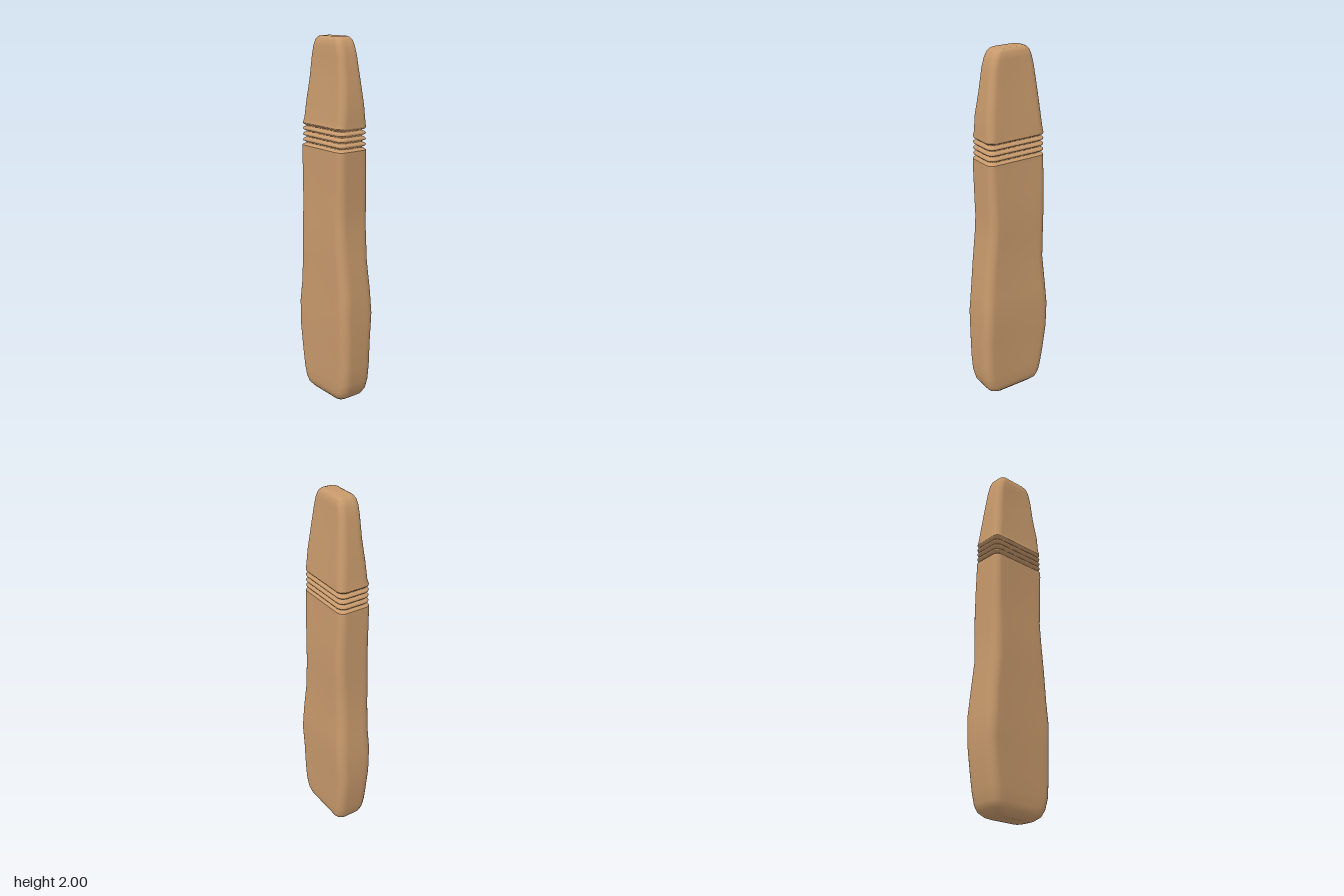
import * as THREE from 'three';

const tan = new THREE.MeshStandardMaterial({ color: 0xc89a6c });
tan.name = 'tan';

const CORNER_STEPS = 6, EDGE_STEPS = 8;

// Rounded rectangle at one height; broad faces dip slightly in the middle
function ring([y, x0, x1, z0, z1, r, dip = 0.004]) {
  const pts = [];
  const centres = [[x1 - r, z1 - r], [x0 + r, z1 - r], [x0 + r, z0 + r], [x1 - r, z0 + r]];
  const cx = (x0 + x1) / 2, half = Math.max((x1 - x0) / 2, 1e-4);
  for (let c = 0; c < 4; c++) {
    const corner = (k, t) => {
      const a = (k + t) * Math.PI / 2;
      return [centres[k][0] + r * Math.cos(a), centres[k][1] + r * Math.sin(a)];
    };
    for (let i = 0; i <= CORNER_STEPS; i++) pts.push(corner(c, i / CORNER_STEPS));
    const a = corner(c, 1), b = corner((c + 1) % 4, 0);
    for (let i = 1; i < EDGE_STEPS; i++) {
      const t = i / EDGE_STEPS;
      pts.push([a[0] + (b[0] - a[0]) * t, a[1] + (b[1] - a[1]) * t]);
    }
  }
  return pts.map(([x, z]) => {
    const u = Math.min(1, Math.abs(x - cx) / half);
    const side = Math.abs(z - (z0 + z1) / 2) > (z1 - z0) * 0.3 ? Math.sign(z - (z0 + z1) / 2) : 0;
    return [x, y, z - side * dip * Math.cos(u * Math.PI / 2)];
  });
}

// Skin between cross-sections listed from bottom to top
function loft(name, sections) {
  const rings = sections.map(ring), n = rings[0].length, index = [];
  for (let j = 0; j < rings.length - 1; j++) {
    for (let i = 0; i < n; i++) {
      const a = j * n + i, b = j * n + (i + 1) % n;
      index.push(a, a + n, b, b, a + n, b + n);
    }
  }
  const g = new THREE.BufferGeometry();
  g.setAttribute('position', new THREE.Float32BufferAttribute(rings.flat(2), 3));
  g.setIndex(index);
  g.computeVertexNormals();
  const mesh = new THREE.Mesh(g, tan);
  mesh.name = name;
  return mesh;
}

export function createModel() {
  const group = new THREE.Group();
  group.name = 'grooved handle';

  // Columns: height, x range, z range, corner radius, dip
  const body = [
    [0.006, 0, 0, 0, 0, 0, 0],
    [0.004, -0.10, 0.10, -0.04, 0.05, 0.03, 0],
    [0.012, -0.13, 0.13, -0.058, 0.07, 0.035, 0],
    [0.035, -0.16, 0.165, -0.08, 0.09, 0.045, 0],
    [0.07, -0.175, 0.187, -0.092, 0.10, 0.05],
    [0.13, -0.187, 0.203, -0.095, 0.104, 0.05],
    [0.22, -0.20, 0.21, -0.097, 0.105, 0.05],
    [0.37, -0.218, 0.213, -0.10, 0.107, 0.05],
    [0.52, -0.213, 0.212, -0.11, 0.113, 0.05, 0.007],
    [0.65, -0.203, 0.205, -0.103, 0.105, 0.05],
    [0.82, -0.188, 0.187, -0.094, 0.11, 0.05],
    [1.0, -0.184, 0.168, -0.097, 0.108, 0.045],
    [1.1, -0.184, 0.165, -0.099, 0.104, 0.045],
    [1.25, -0.182, 0.168, -0.094, 0.104, 0.04],
    [1.4, -0.18, 0.17, -0.086, 0.104, 0.035, 0.002],
    [1.425, -0.179, 0.17, -0.085, 0.103, 0.035, 0],
  ];

  // Four narrow notches around the neck
  const ridge = (y, d) => [y, -0.179 + d, 0.169 - d, -0.085 + d, 0.1 - d, 0.035, 0];
  const neck = [body[body.length - 1]];
  for (let i = 0; i < 4; i++) {
    const y = 1.43 + i * 0.03;
    neck.push(ridge(y, 0.004), ridge(y + 0.006, 0.014), ridge(y + 0.012, 0.014),
      ridge(y + 0.018, 0.002), ridge(y + 0.025, 0));
  }

  const cap = [
    neck[neck.length - 1],
    [1.57, -0.174, 0.167, -0.086, 0.096, 0.04],
    [1.66, -0.165, 0.165, -0.078, 0.09, 0.042],
    [1.78, -0.15, 0.148, -0.067, 0.077, 0.04],
    [1.9, -0.133, 0.13, -0.055, 0.071, 0.035],
    [1.95, -0.121, 0.116, -0.051, 0.068, 0.033, 0],
    [1.98, -0.109, 0.102, -0.046, 0.062, 0.03, 0],
    [1.995, -0.094, 0.085, -0.037, 0.052, 0.025, 0],
    [2.0, -0.08, 0.07, -0.028, 0.042, 0.02, 0],
    [2.0, 0, 0, 0, 0, 0, 0],
  ];

  group.add(loft('body', body), loft('groovedNeck', neck), loft('cap', cap));
  return group;
}
